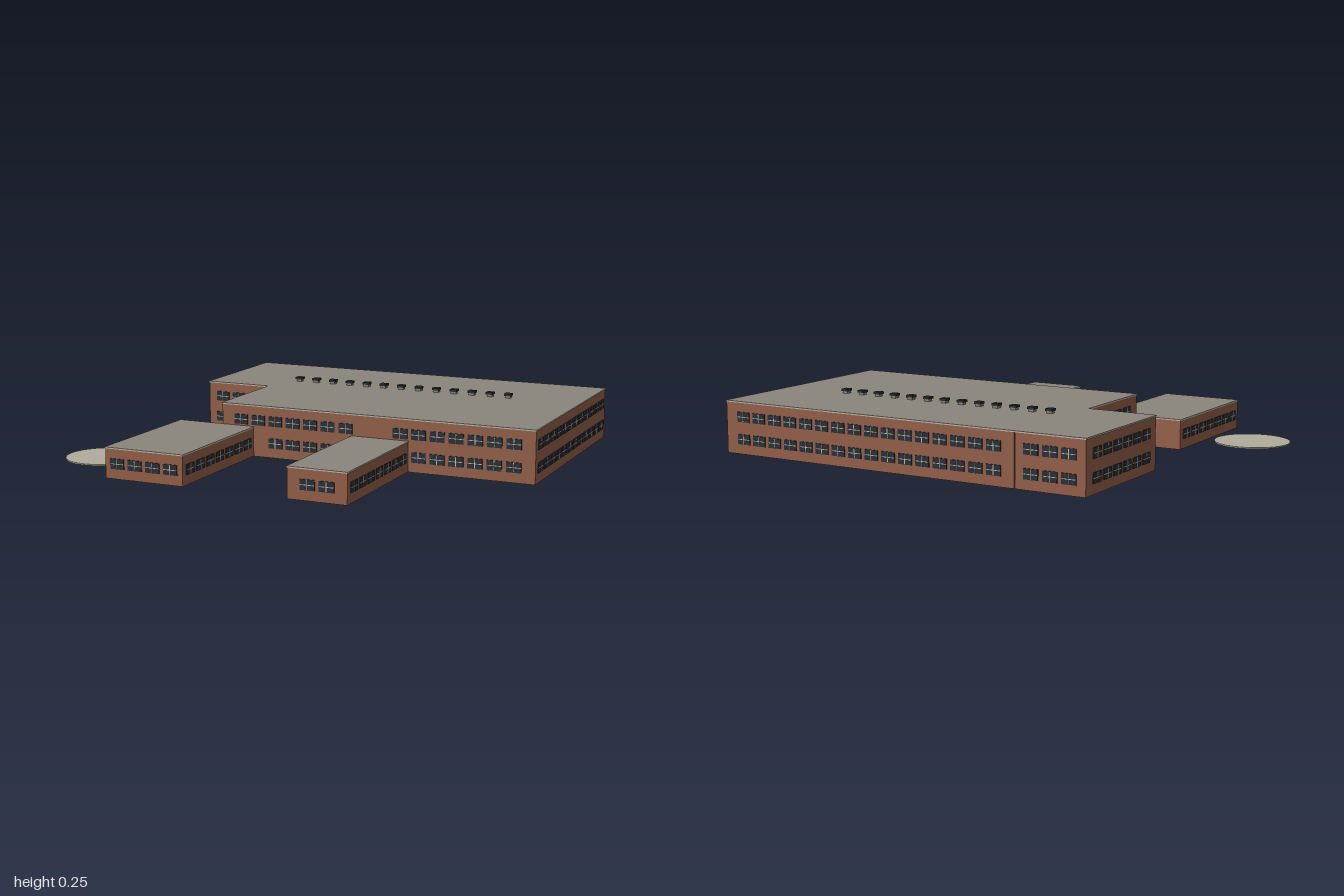
import * as THREE from 'three';
import { mergeGeometries } from 'three/addons/utils/BufferGeometryUtils.js';

const mat = (name, color, side = THREE.FrontSide) => {
  const m = new THREE.MeshStandardMaterial({ color, side });
  m.name = name;
  return m;
};

export function createModel() {
  const brick = mat('brick', 0x98624b, THREE.DoubleSide);
  const roofing = mat('roofing', 0x8b867d);
  const glass = mat('dark glass', 0x2b3139);
  const frame = mat('pale frame', 0xc4bfb2);
  const ventDark = mat('vent cap', 0x2a2d33);
  const paving = mat('paving', 0xb2ad9d);

  const model = new THREE.Group();
  model.name = 'building';

  const add = (parent, name, geo, material, x = 0, y = 0, z = 0) => {
    const mesh = new THREE.Mesh(geo, material);
    mesh.name = name;
    mesh.position.set(x, y, z);
    parent.add(mesh);
    return mesh;
  };

  const PITCH = 0.0825, W = 0.064, H = 0.043, ROWS = [0.064, 0.16];

  // One brick wall in its own plane (outward is +z), with rows of windows
  function wall(parent, name, length, height, count, skip) {
    const g = new THREE.Group();
    g.name = name;
    add(g, 'brickwork', new THREE.PlaneGeometry(length, height), brick, 0, height / 2, 0);
    const panes = [], bars = [];
    ROWS.filter((y) => y < height - 0.03).forEach((y, row) => {
      for (let i = 0; i < count; i++) {
        const x = (i - (count - 1) / 2) * PITCH;
        if (skip && skip(i, row, x)) continue;
        panes.push(new THREE.BoxGeometry(W, H, 0.004).translate(x, y, 0.002));
        bars.push(new THREE.BoxGeometry(0.003, H, 0.002).translate(x, y, 0.0045));
        bars.push(new THREE.BoxGeometry(W, 0.003, 0.002).translate(x, y, 0.0045));
      }
    });
    if (panes.length) {
      add(g, 'windowPanes', mergeGeometries(panes), glass);
      add(g, 'windowBars', mergeGeometries(bars), frame);
    }
    parent.add(g);
    return g;
  }

  // Open-bottomed block: walls, roof slab with a pale edge
  // sides maps front/right/back/left to a window count
  function block(name, x0, x1, z0, z1, height, sides, skipFront) {
    const g = new THREE.Group();
    g.name = name;
    const w = x1 - x0, d = z1 - z0, cx = (x0 + x1) / 2, cz = (z0 + z1) / 2;
    const layout = {
      front: [w, cx, z1, 0],
      right: [d, x1, cz, Math.PI / 2],
      back: [w, cx, z0, Math.PI],
      left: [d, x0, cz, -Math.PI / 2],
    };
    for (const [side, count] of Object.entries(sides)) {
      const [length, x, z, turn] = layout[side];
      const panel = wall(g, side + 'Wall', length, height, count, side === 'front' ? skipFront : null);
      panel.position.set(x, 0, z);
      panel.rotation.y = turn;
    }
    const slab = new THREE.BoxGeometry(w + 0.005, 0.006, d + 0.005);
    // box face order: +x, -x, +y, -y, +z, -z
    add(g, 'roof', slab, [frame, frame, roofing, roofing, frame, frame], cx, height + 0.003, cz);
    model.add(g);
  }

  // Main hall: lower windows stop where the front wings join
  const hallX = 0.29;
  block('mainHall', -0.42, 1, -0.825, 0.205, 0.22, { front: 16, right: 12, back: 16 },
    (i, row, lx) => {
      const x = lx + hallX;
      if (row === 1) return i === 7 || i === 8;
      return x < -0.24 || (x > 0.17 && x < 0.48);
    });

  // Exposed part of the hall's left wall, then the hidden part beside the side wing
  const leftWall = wall(model, 'hallLeftWall', 0.445, 0.22, 4);
  leftWall.position.set(-0.42, 0, -0.0175);
  leftWall.rotation.y = -Math.PI / 2;
  const inner = wall(model, 'hallPartyWall', 0.585, 0.22, 0);
  inner.position.set(-0.42, 0, -0.5325);
  inner.rotation.y = -Math.PI / 2;

  block('sideWing', -0.73, -0.423, -0.825, -0.24, 0.22, { front: 3, back: 3, left: 6 });
  block('leftFrontWing', 0.195, 0.45, 0.205, 0.82, 0.125, { front: 2, right: 7, left: 7 });
  block('rightFrontWing', -0.63, -0.27, 0.205, 0.82, 0.125, { front: 4, right: 7, left: 7 });

  // Back wall piece closing the wing end that extends past the hall
  const end = wall(model, 'wingEndWall', 0.21, 0.125, 0);
  end.position.set(-0.525, 0, 0.205);
  end.rotation.y = Math.PI;

  // Row of roof vents
  for (let i = 0; i < 13; i++) {
    const vent = new THREE.Group();
    vent.name = 'roofVent';
    vent.position.set(-0.345 + i * 0.085, 0.226, -0.415);
    add(vent, 'ventBase', new THREE.BoxGeometry(0.024, 0.01, 0.024), roofing, 0, 0.005, 0);
    add(vent, 'ventCap', new THREE.BoxGeometry(0.032, 0.01, 0.032), ventDark, 0, 0.015, 0);
    model.add(vent);
  }

  // Round paved court
  add(model, 'pavedCircle', new THREE.CylinderGeometry(0.165, 0.165, 0.006, 48), paving, -0.835, 0.007, 0.51);

  return model;
}
